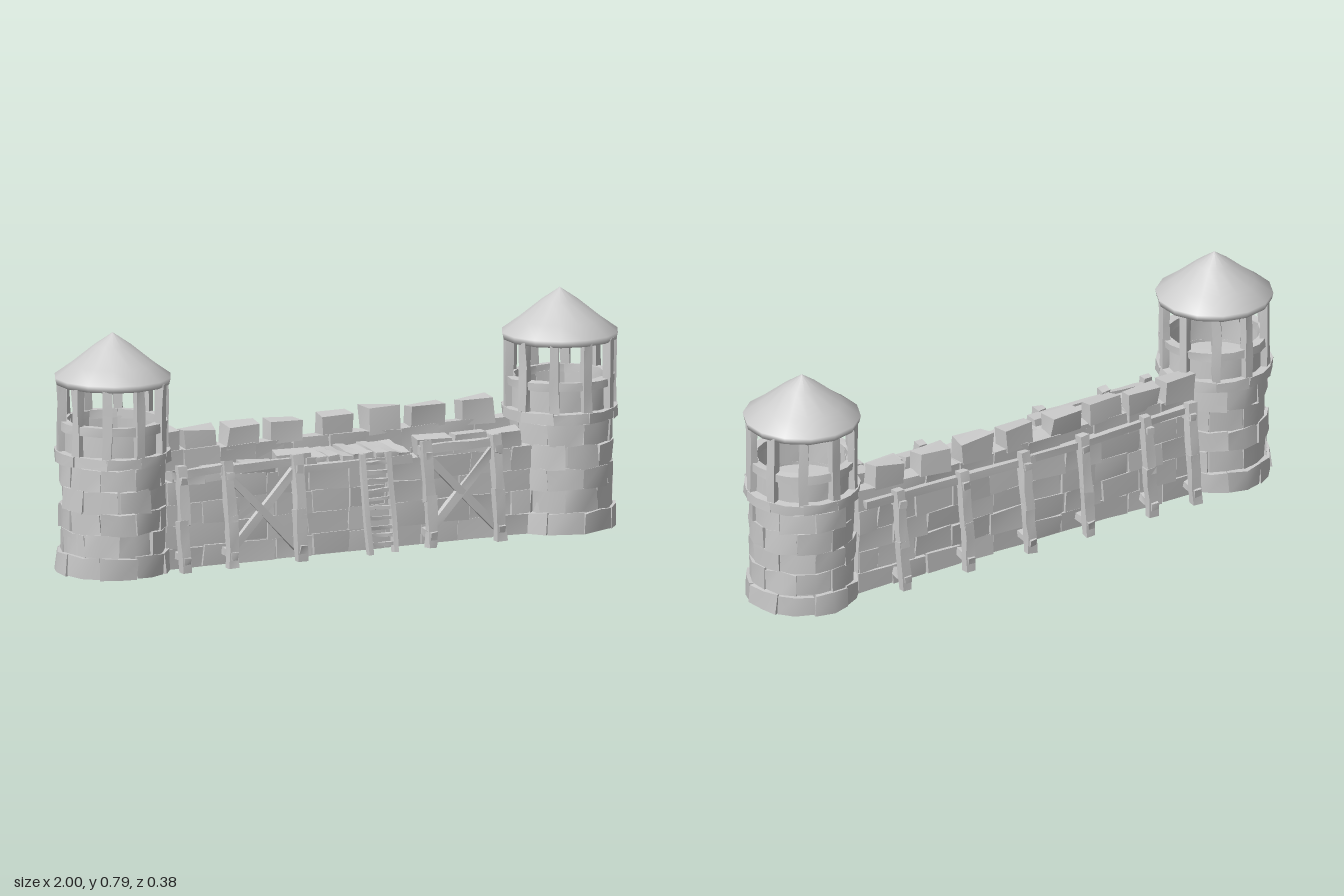
import * as THREE from 'three';
import { mergeGeometries } from 'three/addons/utils/BufferGeometryUtils.js';

const stone = new THREE.MeshStandardMaterial({ color: 0xcccccc });
let seed = 7;
const rnd = () => { seed = (seed * 16807) % 2147483647; return seed / 2147483647; };
const vary = (a) => (rnd() - 0.5) * 2 * a;

// Moves coincident vertices together by a small seeded offset, for a hand-hewn look.
function roughen(geo, amount) {
  const p = geo.attributes.position, moved = new Map();
  for (let i = 0; i < p.count; i++) {
    const key = [p.getX(i), p.getY(i), p.getZ(i)].map((v) => Math.round(v * 5000)).join();
    if (!moved.has(key)) moved.set(key, [vary(amount), vary(amount), vary(amount)]);
    const [a, b, c] = moved.get(key);
    p.setXYZ(i, p.getX(i) + a, Math.max(0, p.getY(i) + b), p.getZ(i) + c);
  }
  geo.computeVertexNormals();
  return geo;
}

// Rough block between two corners
function block(x0, x1, y0, y1, z0, z1, amount = 0.006) {
  const g = new THREE.BoxGeometry(x1 - x0, y1 - y0, z1 - z0);
  g.translate((x0 + x1) / 2, (y0 + y1) / 2, (z0 + z1) / 2);
  return roughen(g, amount);
}

// Rough timber from a to b
function beam(a, b, w, d = w, amount = 0.003) {
  const A = new THREE.Vector3(...a), B = new THREE.Vector3(...b);
  const dir = B.clone().sub(A);
  const g = new THREE.BoxGeometry(w, dir.length(), d, 1, 3, 1);
  const q = new THREE.Quaternion().setFromUnitVectors(new THREE.Vector3(0, 1, 0), dir.normalize());
  g.applyQuaternion(q);
  g.translate((A.x + B.x) / 2, (A.y + B.y) / 2, (A.z + B.z) / 2);
  return roughen(g, amount);
}

// Curved block around the y axis
function arcBlock(a0, a1, y0, y1, r0, r1, amount = 0.005) {
  const g = new THREE.BoxGeometry(1, 1, 1, 2, 1, 1), p = g.attributes.position;
  for (let i = 0; i < p.count; i++) {
    const a = a0 + (p.getX(i) + 0.5) * (a1 - a0);
    const r = r0 + (p.getZ(i) + 0.5) * (r1 - r0);
    p.setXYZ(i, Math.sin(a) * r, y0 + (p.getY(i) + 0.5) * (y1 - y0), Math.cos(a) * r);
  }
  return roughen(g, amount);
}

function add(group, name, geos) {
  const mesh = new THREE.Mesh(geos.length > 1 ? mergeGeometries(geos) : geos[0], stone);
  mesh.name = name;
  group.add(mesh);
}

const courses = [0, 0.07, 0.145, 0.215, 0.29, 0.36];

function tower(name, x) {
  const t = new THREE.Group();
  t.name = name;
  t.position.x = x;

  // Solid core with rings of stones around it
  const core = new THREE.CylinderGeometry(0.16, 0.165, 0.39, 20);
  core.translate(0, 0.195, 0);
  add(t, 'towerCore', [core]);
  const stones = [];
  for (let c = 0; c < 5; c++) {
    const n = 9, step = (Math.PI * 2) / n;
    for (let i = 0; i < n; i++) {
      const a = (i + (c % 2) * 0.5) * step;
      const r = (c === 0 ? 0.183 : 0.171) + vary(0.004);
      stones.push(arcBlock(a + 0.01, a + step - 0.01, courses[c], courses[c + 1], 0.14, r));
    }
  }
  add(t, 'towerStones', stones);

  // Wooden gallery: ledge, panels, rail and posts
  const ledge = [], panels = [], rail = [], posts = [];
  const n = 10, step = (Math.PI * 2) / n;
  for (let i = 0; i < n; i++) {
    const a = (i + 0.1) * step;
    ledge.push(arcBlock(a, a + step, 0.365, 0.4, 0.15, 0.189, 0.003));
    panels.push(arcBlock(a, a + step, 0.395, 0.478, 0.15, 0.163, 0.003));
    rail.push(arcBlock(a, a + step, 0.472, 0.5, 0.148, 0.178, 0.003));
    const s = Math.sin(a), k = Math.cos(a);
    const post = new THREE.BoxGeometry(0.03, 0.235, 0.026, 1, 3, 1);
    post.rotateY(a);
    post.translate(s * 0.17, 0.512, k * 0.17);
    posts.push(roughen(post, 0.003));
  }
  add(t, 'galleryLedge', ledge);
  add(t, 'galleryPanels', panels);
  add(t, 'galleryRail', rail);
  add(t, 'galleryPosts', posts);

  // Hollow conical roof
  const profile = [[0, 0.755], [0.16, 0.64], [0.17, 0.62], [0.187, 0.62], [0.192, 0.642],
    [0.135, 0.683], [0.06, 0.744], [0, 0.785]].map(([r, y]) => new THREE.Vector2(r, y));
  add(t, 'roof', [new THREE.LatheGeometry(profile, 14)]);
  return t;
}

// Straight wall of staggered stones on a thin core
function wall(name, z, rows) {
  const w = new THREE.Group();
  w.name = name;
  const top = courses[rows.length];
  add(w, 'wallCore', [block(-0.66, 0.66, 0, top - 0.015, z - 0.022, z + 0.022, 0)]);
  const stones = [];
  rows.forEach((n, c) => {
    const step = 1.32 / n, shift = c % 2 ? step / 2 : 0;
    for (let i = 0; i < n + (c % 2); i++) {
      const x0 = Math.max(-0.66, -0.66 + i * step - shift), x1 = Math.min(0.66, -0.66 + (i + 1) * step - shift);
      const h = 0.029 + vary(0.004);
      stones.push(block(x0 + 0.002, x1 - 0.002, courses[c], courses[c + 1], z - h, z + h, 0.005));
    }
  });
  add(w, 'wallStones', stones);
  return w;
}

export function createModel() {
  const g = new THREE.Group();
  g.name = 'fortWall';
  g.add(tower('leftTower', 0.81), tower('rightTower', -0.81));

  const back = wall('backWall', -0.08, [10, 9, 10, 9, 10]);
  const front = wall('frontWall', 0.06, [10, 9, 10, 9]);
  g.add(back, front);

  // Battlements along the back wall
  add(back, 'battlements', [-0.6, -0.46, -0.31, -0.155, 0.03, 0.2, 0.36, 0.54].map((x) =>
    block(x - 0.058, x + 0.058, 0.35, 0.425 + vary(0.006), -0.112, -0.052, 0.008)));

  // Uneven cap stones on the front wall
  const caps = [];
  for (let x = -0.64; x < 0.6; x += 0.128) {
    if (x < -0.22 || x > 0.18) caps.push(block(x, x + 0.12, 0.28, 0.335 + vary(0.015), 0.034, 0.088, 0.007));
  }
  add(front, 'capStones', caps);

  // Leaning posts with feet on both faces
  const leaning = (x, s, z) => [
    beam([x, 0, s * (z + 0.055)], [x + vary(0.006), 0.17, s * (z + 0.04)], 0.034, 0.03),
    beam([x, 0.15, s * (z + 0.042)], [x + vary(0.01), 0.345, s * (z + 0.015)], 0.032, 0.03),
    beam([x, 0.05, s * z], [x, 0.04, s * (z + 0.072)], 0.024),
    beam([x, 0.3, s * (z - 0.01)], [x, 0.3, s * (z + 0.045)], 0.024),
  ];
  const frontX = [-0.62, -0.45, -0.2, 0.27, 0.52];
  add(g, 'frontPosts', frontX.flatMap((x) => leaning(x, 1, 0.095)));
  add(g, 'backPosts', [-0.62, -0.45, -0.2, 0.03, 0.27, 0.52].flatMap((x) => leaning(x, -1, 0.115)));

  // Cross braces and rails on the front
  const braces = [];
  for (const [a, b] of [[-0.45, -0.2], [0.27, 0.52]]) {
    braces.push(beam([a, 0.3, 0.105], [b, 0.04, 0.12], 0.026, 0.018));
    braces.push(beam([a, 0.04, 0.12], [b, 0.3, 0.105], 0.026, 0.018));
    braces.push(beam([a - 0.02, 0.315, 0.1], [b + 0.02, 0.32, 0.1], 0.028, 0.022));
  }
  braces.push(beam([-0.64, 0.31, 0.1], [-0.44, 0.325, 0.1], 0.026, 0.022));
  add(g, 'frontBraces', braces);

  // Long log near the top of the back wall
  add(g, 'backRail', [beam([-0.64, 0.315, -0.115], [0, 0.305, -0.118], 0.026),
    beam([-0.02, 0.305, -0.118], [0.64, 0.315, -0.115], 0.026)]);

  // Plank platform bridging the walls
  const planks = [];
  for (let i = 0; i < 9; i++) {
    const x = -0.145 + i * 0.043;
    planks.push(beam([x + vary(0.004), 0.318 + vary(0.006), -0.06], [x + vary(0.008), 0.312 + vary(0.006), 0.1 + vary(0.012)], 0.04, 0.018));
  }
  add(g, 'platformPlanks', planks);
  add(g, 'platformBeams', [beam([-0.17, 0.292, 0.098], [0.22, 0.292, 0.098], 0.024),
    beam([-0.17, 0.295, -0.045], [0.22, 0.295, -0.045], 0.022)]);

  // Ladder up to the platform
  const ladder = [0.04, 0.132].map((x) => beam([x, 0, 0.165], [x, 0.325, 0.108], 0.018));
  for (let i = 0; i < 10; i++) {
    const y = 0.03 + i * 0.029, z = 0.165 - (y / 0.325) * 0.057;
    ladder.push(beam([0.036, y + vary(0.004), z], [0.136, y + vary(0.004), z], 0.012, 0.012, 0.002));
  }
  add(g, 'ladder', ladder);
  return g;
}
